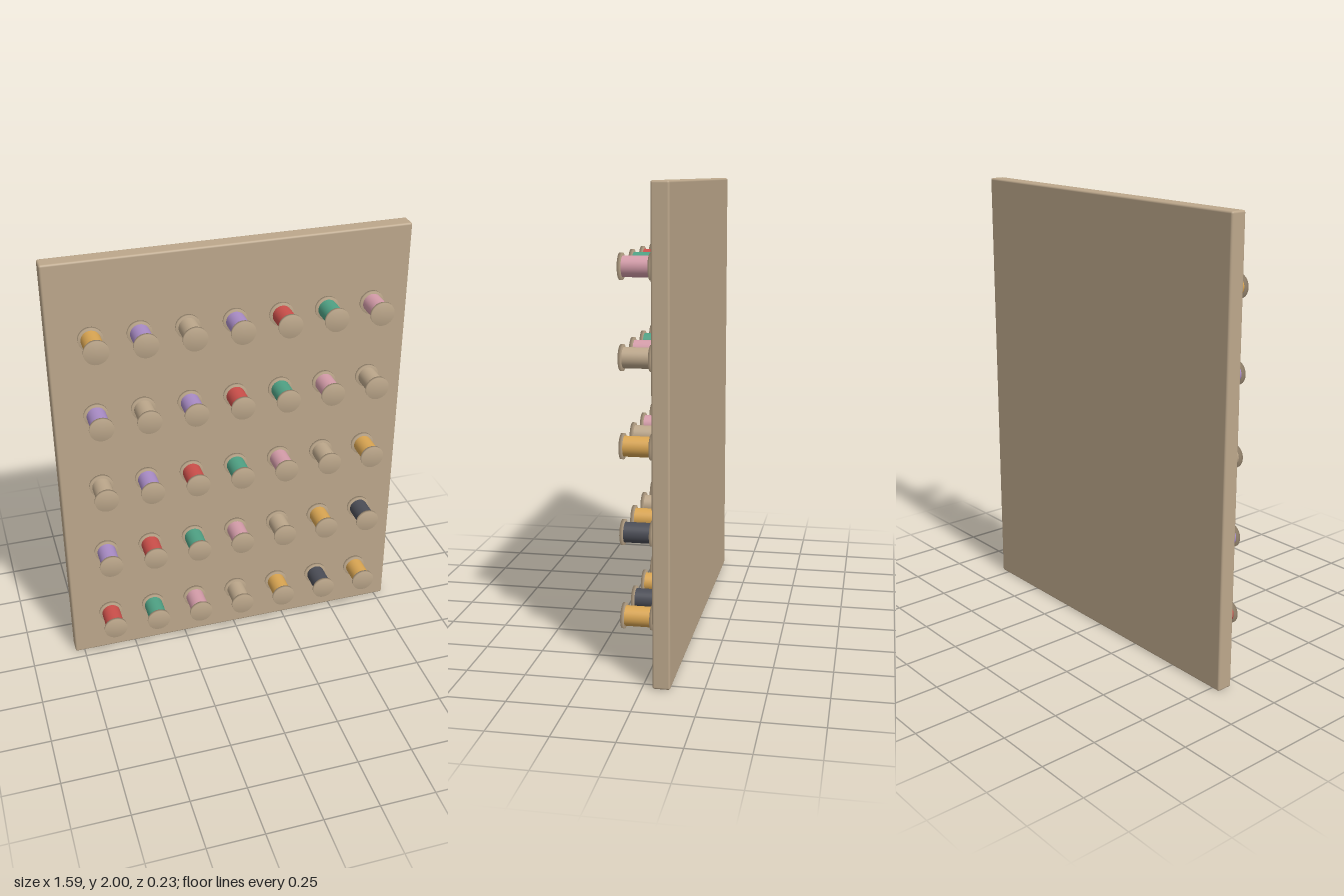
import * as THREE from 'three';
import { RoundedBoxGeometry } from 'three/addons/geometries/RoundedBoxGeometry.js';

function material(name, color) {
  const m = new THREE.MeshStandardMaterial({ color });
  m.name = name;
  return m;
}

// Closed disc turned around the z axis, softly shaded over its rim
function turnedDisc(radius, z0, z1) {
  const profile = [[0, z0], [radius, z0], [radius, z1], [0, z1]];
  return new THREE.LatheGeometry(profile.map(([x, y]) => new THREE.Vector2(x, y)), 32).rotateX(Math.PI / 2);
}

// Plain cylinder along z
function rod(radius, z0, z1) {
  return new THREE.CylinderGeometry(radius, radius, z1 - z0, 32)
    .rotateX(Math.PI / 2).translate(0, 0, (z0 + z1) / 2);
}

export function createModel() {
  const model = new THREE.Group();
  model.name = 'threadRack';

  const wood = material('wood', 0xbca78b);
  const gold = material('goldThread', 0xd9a552);
  const purple = material('purpleThread', 0xa98cc6);
  const red = material('redThread', 0xcb4f4a);
  const green = material('greenThread', 0x4fa184);
  const pink = material('pinkThread', 0xd49ca9);
  const dark = material('darkThread', 0x4b4d56);

  const add = (parent, name, geometry, mat) => {
    const mesh = new THREE.Mesh(geometry, mat);
    mesh.name = name;
    parent.add(mesh);
    return mesh;
  };

  // Backing board with slightly eased edges
  add(model, 'board', new RoundedBoxGeometry(1.586, 2, 0.073, 2, 0.009), wood).position.set(0, 1, -0.079);

  // Shared spool parts
  const peg = rod(0.01, -0.05, -0.015);
  const backFlange = turnedDisc(0.053, -0.02, -0.006);
  const thread = rod(0.042, -0.008, 0.104);
  const frontFlange = turnedDisc(0.053, 0.102, 0.115);

  // Thread colours run along the diagonals of the rack
  const colours = [gold, purple, wood, purple, red, green, pink, wood, gold, dark, gold];

  for (let row = 0; row < 5; row++) {
    for (let col = 0; col < 7; col++) {
      const spool = new THREE.Group();
      spool.name = `spool_${row + 1}_${col + 1}`;
      spool.position.set((col - 3) * 0.205, 1.67 - row * 0.359, 0);
      add(spool, 'peg', peg, wood);
      add(spool, 'backFlange', backFlange, wood);
      add(spool, 'thread', thread, colours[row + col]);
      add(spool, 'frontFlange', frontFlange, wood);
      model.add(spool);
    }
  }
  return model;
}
